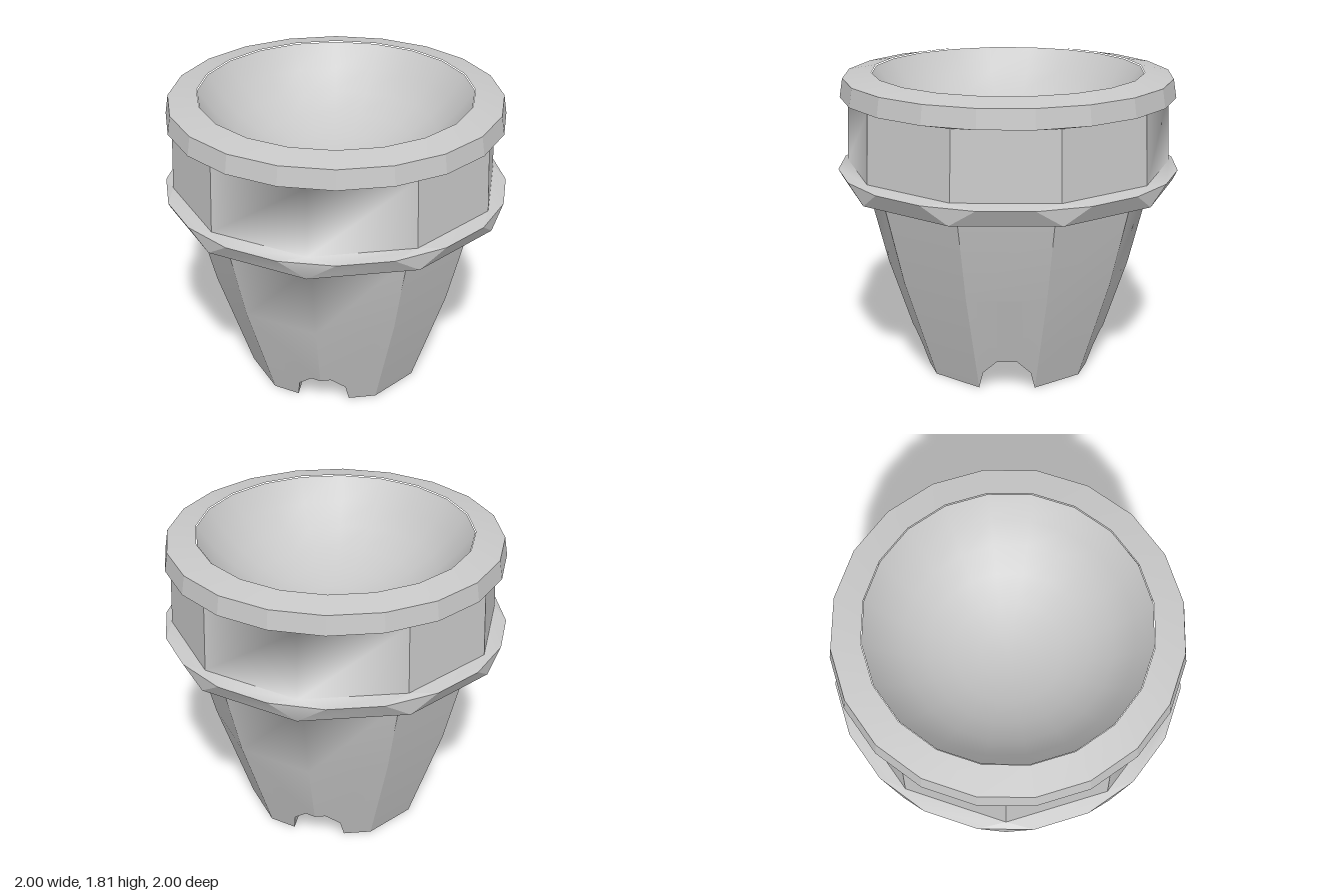
import * as THREE from 'three';

const DEG = Math.PI / 180;
const V = (x, y, z) => new THREE.Vector3(x, y, z);
const polar = (r, y, deg) => V(r * Math.sin(deg * DEG), y, r * Math.cos(deg * DEG));

// Every ring has 20 entries; a ten-sided ring repeats each corner, so both kinds join up.
const ring = (r, y, spread) =>
  Array.from({ length: 20 }, (_, i) => polar(r, y, 36 * (i >> 1) + (i % 2 ? spread : -spread)));
const ten = (r, y) => ring(r, y, 0);
const twenty = (r, y) => ring(r, y, 9);

// Triangles from a polygon, fanned from its first corner
function fan(tris, pts) {
  for (let i = 1; i < pts.length - 1; i++) {
    const t = [pts[0], pts[i], pts[i + 1]];
    const n = V(0, 0, 0).subVectors(t[1], t[0]).cross(V(0, 0, 0).subVectors(t[2], t[0]));
    if (n.length() > 1e-6) tris.push(t);
  }
}

// Skin a list of rings
function loft(tris, rings) {
  for (let k = 0; k < rings.length - 1; k++) {
    const lo = rings[k], up = rings[k + 1];
    for (let i = 0; i < 20; i++) {
      const j = (i + 1) % 20;
      fan(tris, [lo[i], lo[j], up[j], up[i]]);
    }
  }
}

// Faceted normals, softened across shallow edges and along the front and back seam
function build(name, tris, material, minDot = 0.97) {
  const key = (p) => p.toArray().map((v) => Math.round(v * 1000) + 0).join();
  const faces = tris.map(([a, b, c]) =>
    V(0, 0, 0).subVectors(b, a).cross(V(0, 0, 0).subVectors(c, a)).normalize());
  const around = new Map();
  tris.forEach((t, f) => t.forEach((p) => {
    const k = key(p);
    if (!around.has(k)) around.set(k, []);
    around.get(k).push(faces[f]);
  }));
  const position = [], normal = [];
  tris.forEach((t, f) => t.forEach((p) => {
    const n = V(0, 0, 0);
    const seam = Math.abs(p.x) < 0.001 && p.y > 0.3;
    for (const o of around.get(key(p))) if (seam || o.dot(faces[f]) > minDot) n.add(o);
    position.push(...p.toArray());
    normal.push(...n.normalize().toArray());
  }));
  const g = new THREE.BufferGeometry();
  g.setAttribute('position', new THREE.Float32BufferAttribute(position, 3));
  g.setAttribute('normal', new THREE.Float32BufferAttribute(normal, 3));
  const mesh = new THREE.Mesh(g, material);
  mesh.name = name;
  return mesh;
}

// One quarter of the tapering foot, cut by two crossing arched channels
function footQuarter() {
  const R = (y) => 0.53 + (0.205 * y) / 0.62;
  const front = (x, y) => V(x, y, R(y) - x * Math.tan(18 * DEG));
  const side = (z, y) => V(R(y) * Math.sin(72 * DEG), y, z);
  const P0 = polar(R(0.62), 0.62, 0), P1 = polar(R(0.62), 0.62, 36);
  const P2 = polar(R(0.62), 0.62, 72), P3 = side(0, 0.62);
  const A0 = front(0.155, 0), A1 = front(0.14, 0.11), A2 = front(0.06, 0.19), A3 = front(0, 0.19);
  const B0 = polar(R(0), 0, 36);
  const C0 = polar(R(0), 0, 72), C1 = side(0.14, 0.11), C2 = side(0.06, 0.19), C3 = side(0, 0.19);
  const D0 = V(0.155, 0, 0.16), D1 = V(0.14, 0.11, 0.14), O = V(0, 0.19, 0);
  const tris = [];
  [
    [P1, P0, A3, A2, A1, A0, B0], [P1, B0, C0, P2], [P2, C0, C1, C2, C3, P3], // outside
    [D0, C0, B0, A0], // sole
    [A0, A1, D1, D0], [D1, A1, A2, A3, O], // channel running front to back
    [C0, D0, D1, C1], [D1, O, C3, C2, C1], // channel running side to side
  ].forEach((poly) => fan(tris, poly));
  return tris;
}

export function createModel() {
  const grey = new THREE.MeshStandardMaterial({ color: 0xc8c8c8 });
  grey.name = 'grey clay';
  const group = new THREE.Group();
  group.name = 'plantPot';

  // Tapered body with four feet, up to the underside of the band
  const body = [];
  const quarter = footQuarter();
  for (const sx of [1, -1]) for (const sz of [1, -1]) {
    for (const t of quarter) {
      const m = t.map((p) => V(p.x * sx, p.y, p.z * sz));
      body.push(sx * sz < 0 ? m.reverse() : m);
    }
  }
  loft(body, [ten(0.735, 0.62), ten(0.86, 1.13), ten(0.99, 1.14)]);
  group.add(build('body', body, grey));

  // Faceted lower band
  const band = [];
  loft(band, [ten(0.99, 1.14), twenty(1.01, 1.24)]);
  group.add(build('band', band, grey));

  // Ten-sided neck with the ledges above and below it
  const neck = [];
  loft(neck, [twenty(1.01, 1.24), ten(0.962, 1.26), ten(0.945, 1.66), twenty(0.985, 1.67)]);
  group.add(build('neck', neck, grey));

  // Upper rim
  const rim = [];
  loft(rim, [twenty(0.985, 1.67), twenty(0.967, 1.78), twenty(0.8, 1.81)]);
  group.add(build('rim', rim, grey));

  // Shallow rounded bowl inside the rim
  const bowl = [];
  const radius = 0.92, centreY = 2.265;
  const rings = [60, 50, 40, 30, 20, 10, 0].map((a) =>
    twenty(radius * Math.sin(a * DEG), centreY - radius * Math.cos(a * DEG)));
  loft(bowl, rings);
  group.add(build('bowl', bowl, grey, -1));

  return group;
}
